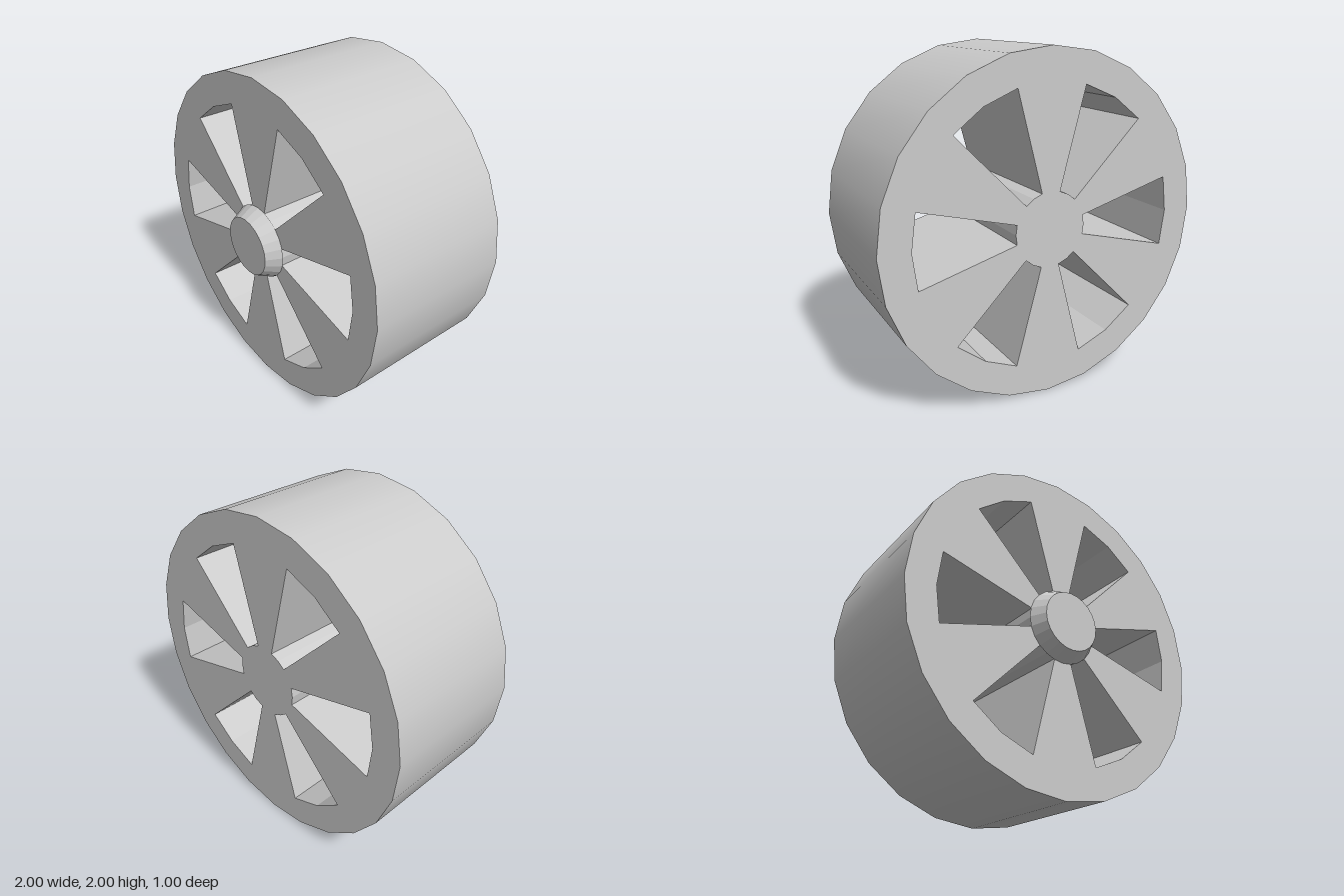
import * as THREE from 'three';

const BACK = -0.5, FACE = 0.41, FRONT = 0.5;
const RIM = 1, HOLE_OUT = 0.817, HOLE_IN = 0.22, SIDES = 24;
const STEP = (Math.PI * 2) / SIDES;

const polar = (r, a) => new THREE.Vector2(r * Math.cos(a), r * Math.sin(a));

export function createModel() {
  const group = new THREE.Group();
  const grey = new THREE.MeshStandardMaterial({ color: 0xcccccc });
  const greyFlat = new THREE.MeshStandardMaterial({ color: 0xcccccc, flatShading: true });

  // Wheel body: 24-sided disc with six tapered openings
  const outline = new THREE.Shape(Array.from({ length: SIDES }, (_, i) => polar(RIM, i * STEP)));
  for (let i = 0; i < 6; i++) {
    const a = (i * Math.PI) / 3;
    outline.holes.push(new THREE.Path([
      ...[-1, 0, 1].map((k) => polar(HOLE_OUT, a + k * STEP)),
      ...[1, 0, -1].map((k) => polar(HOLE_IN, a + k * STEP)),
    ]));
  }
  const bodyGeo = new THREE.ExtrudeGeometry(outline, { depth: FACE - BACK, bevelEnabled: false, steps: 1 });
  bodyGeo.translate(0, 0, BACK);

  // Smooth the tread by pointing its normals straight outwards
  const pos = bodyGeo.attributes.position, nor = bodyGeo.attributes.normal;
  for (let i = 0; i < pos.count; i++) {
    const x = pos.getX(i), y = pos.getY(i), r = Math.hypot(x, y);
    if (r > 0.99 && Math.abs(nor.getZ(i)) < 0.5) nor.setXYZ(i, x / r, y / r, 0);
  }
  const body = new THREE.Mesh(bodyGeo, grey);
  body.name = 'wheelBody';

  // Hub cap: short faceted cone on the front face
  const hubGeo = new THREE.CylinderGeometry(0.18, 0.226, FRONT - FACE, SIDES);
  hubGeo.rotateX(Math.PI / 2);
  hubGeo.translate(0, 0, (FRONT + FACE) / 2);
  const hub = new THREE.Mesh(hubGeo, greyFlat);
  hub.name = 'hubCap';

  group.add(body, hub);
  group.children.forEach((m) => (m.position.y = RIM));
  return group;
}
